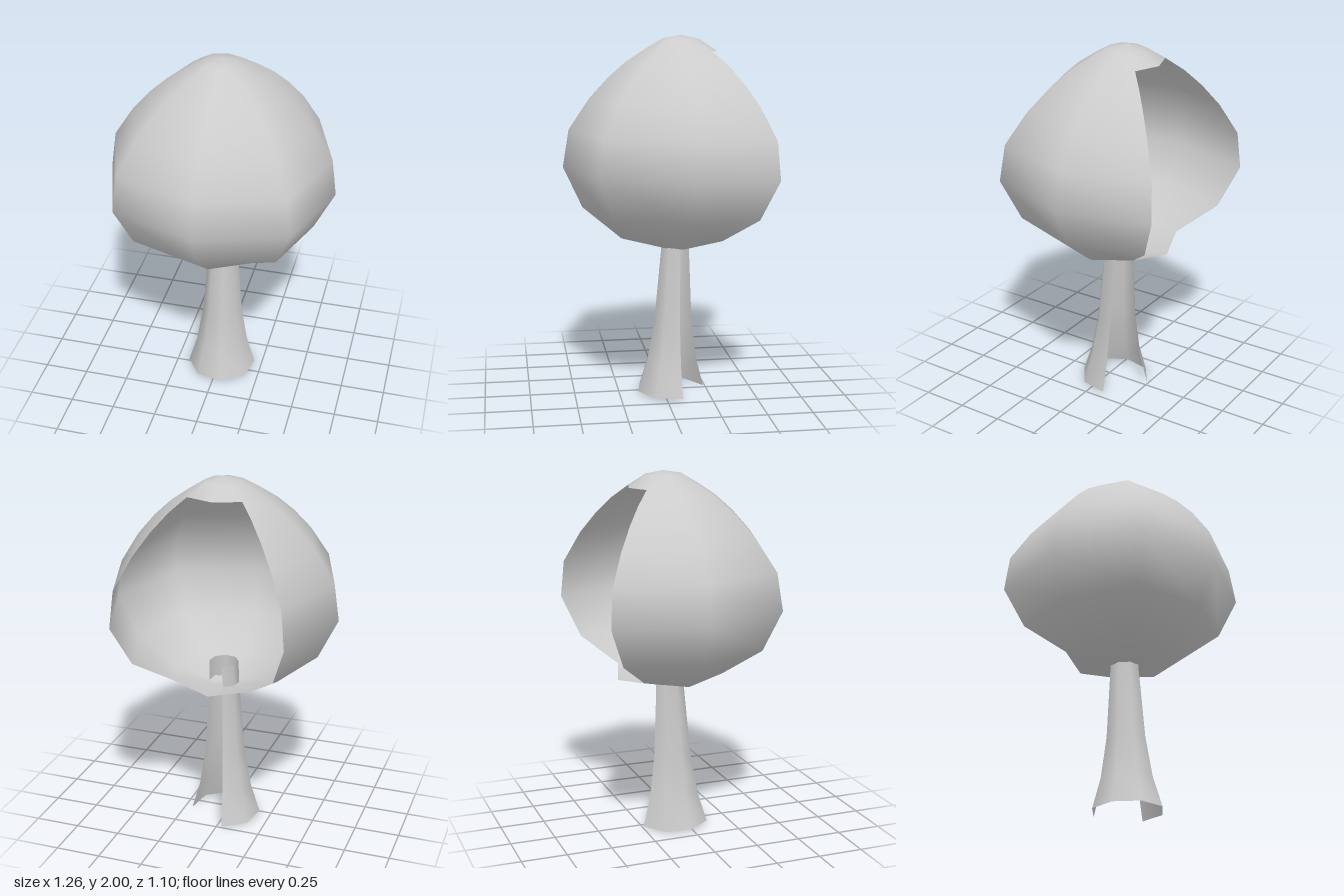
import * as THREE from 'three';
import { mergeVertices } from 'three/addons/utils/BufferGeometryUtils.js';

const SIDES = 8;

// Stacks rings (top to bottom) of eight points into a smooth shell; skip(row, column) leaves faces out.
function shell(rowCount, point, skip) {
  const positions = [], index = [];
  for (let j = 0; j < rowCount; j++)
    for (let i = 0; i < SIDES; i++) positions.push(...point(j, i));
  for (let j = 0; j < rowCount - 1; j++)
    for (let i = 0; i < SIDES; i++) {
      if (skip(j, i)) continue;
      const n = (i + 1) % SIDES;
      const tl = j * SIDES + i, tr = j * SIDES + n;
      const bl = tl + SIDES, br = tr + SIDES;
      index.push(tl, bl, br, tl, br, tr);
    }
  const raw = new THREE.BufferGeometry();
  raw.setAttribute('position', new THREE.Float32BufferAttribute(positions, 3));
  raw.setIndex(index);
  const geometry = mergeVertices(raw, 1e-5);
  geometry.computeVertexNormals();
  return geometry;
}

export function createModel() {
  const material = new THREE.MeshStandardMaterial({ color: 0xcccccc, side: THREE.DoubleSide });
  const tree = new THREE.Group();
  tree.name = 'tree';

  // Leafy crown: [radius, height]; slightly squared octagon, open at the back
  const crownRings = [
    [0, 1.994], [0.1, 1.974], [0.2, 1.912], [0.3, 1.842], [0.395, 1.755], [0.495, 1.64],
    [0.602, 1.472], [0.63, 1.268], [0.52, 1.045], [0.3, 0.87], [0.08, 0.826], [0, 0.82],
  ];
  const crownPoint = (j, i) => {
    const a = (i / SIDES) * Math.PI * 2;
    const diagonal = i % 2 === 1;
    const r = crownRings[j][0] * (diagonal ? 1.06 : 1);
    const lift = diagonal && j === 9 ? 0.03 : 0;
    return [r * Math.sin(a), crownRings[j][1] + lift, r * Math.cos(a)];
  };
  const crown = new THREE.Mesh(
    shell(crownRings.length, crownPoint, (j, i) => j >= 2 && j <= 8 && (i === 3 || i === 4)),
    material);
  crown.name = 'crown';
  tree.add(crown);

  // Flared hollow trunk, open along two sides at the back
  const trunkRings = [[0.08, 0.95], [0.084, 0.8], [0.112, 0.4], [0.148, 0.17], [0.197, 0]];
  const trunkPoint = (j, i) => {
    const a = (i / SIDES) * Math.PI * 2 + THREE.MathUtils.degToRad(12);
    const [r, y] = trunkRings[j];
    return [r * Math.sin(a), y, r * Math.cos(a)];
  };
  const trunk = new THREE.Mesh(
    shell(trunkRings.length, trunkPoint, (j, i) => i === 2 || i === 3),
    material);
  trunk.name = 'trunk';
  trunk.position.x = 0.012;
  tree.add(trunk);

  // The whole tree leans back a little
  tree.rotation.x = -0.028;
  tree.position.set(0, 0.006, -0.048);

  const model = new THREE.Group();
  model.add(tree);
  return model;
}
